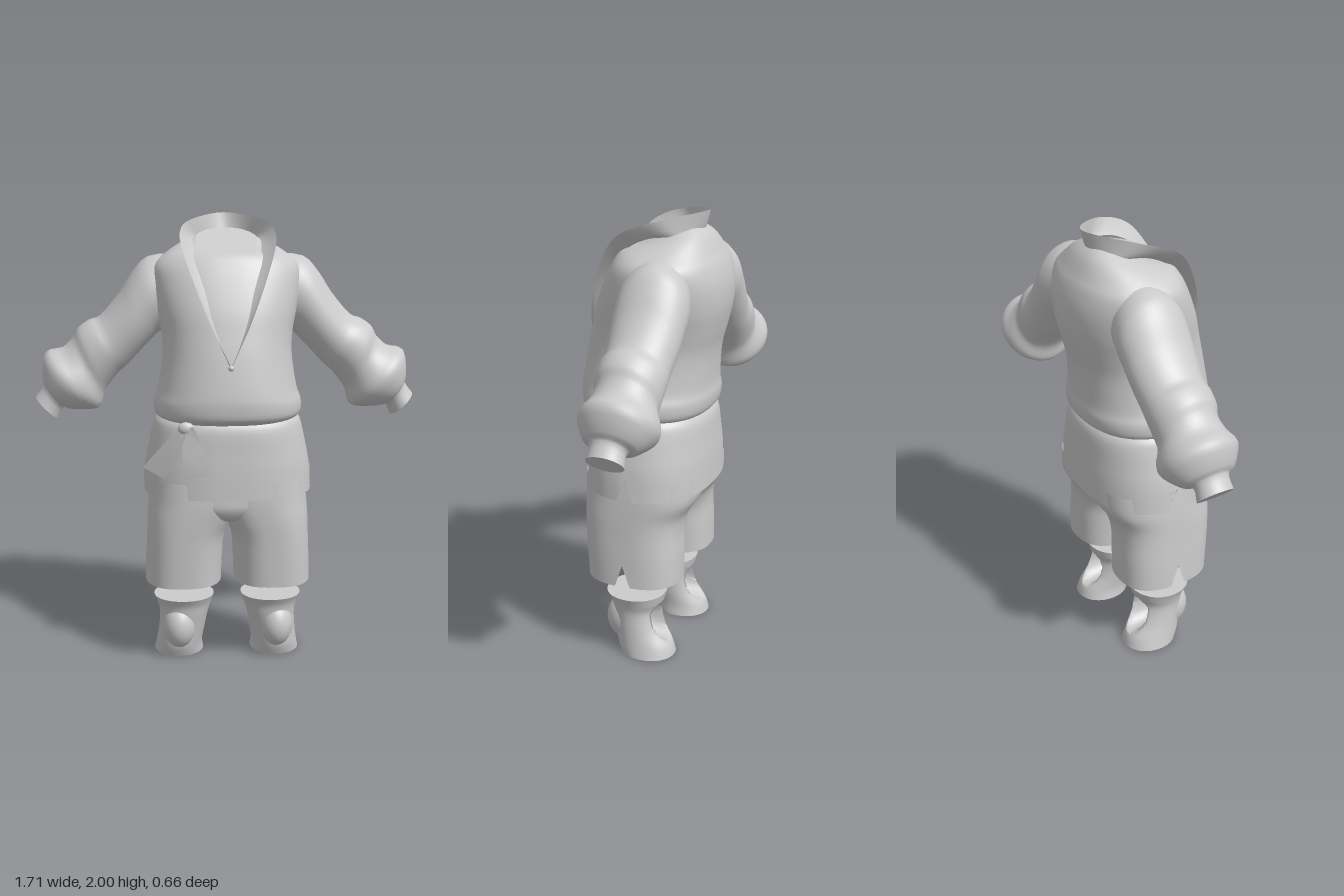
import * as THREE from 'three';

const material = new THREE.MeshStandardMaterial({ color: 0xcccccc, side: THREE.DoubleSide });

// Catmull-Rom interpolation between rows of numbers
function smooth(rows, steps) {
  const out = [];
  for (let i = 0; i < rows.length - 1; i++) {
    const [a, b, c, d] = [-1, 0, 1, 2].map(o => rows[Math.min(rows.length - 1, Math.max(0, i + o))]);
    for (let s = 0; s < steps; s++) {
      const t = s / steps;
      out.push(b.map((_, k) => 0.5 * (2 * b[k] + (c[k] - a[k]) * t +
        (2 * a[k] - 5 * b[k] + 4 * c[k] - d[k]) * t * t +
        (3 * b[k] - a[k] - 3 * c[k] + d[k]) * t * t * t)));
    }
  }
  out.push(rows[rows.length - 1]);
  return out;
}

// Skin over rings of points; capped ends get their own vertices for a sharp edge
function loft(rings, { closed = true, capStart = false, capEnd = false } = {}) {
  const n = rings[0].length, pos = rings.flat(2), idx = [];
  for (let i = 0; i < rings.length - 1; i++) {
    for (let j = 0; j < (closed ? n : n - 1); j++) {
      const k = (j + 1) % n, a = i * n + j, b = i * n + k, c = b + n, d = a + n;
      idx.push(a, d, c, a, c, b);
    }
  }
  const cap = (ring, flip) => {
    const base = pos.length / 3;
    pos.push(...ring.flat(), ...[0, 1, 2].map(k => ring.reduce((s, p) => s + p[k], 0) / n));
    for (let j = 0; j < n; j++) {
      const a = base + j, b = base + (j + 1) % n;
      idx.push(base + n, flip ? a : b, flip ? b : a);
    }
  };
  if (capStart) cap(rings[0], true);
  if (capEnd) cap(rings[rings.length - 1], false);
  const g = new THREE.BufferGeometry();
  g.setAttribute('position', new THREE.Float32BufferAttribute(pos, 3));
  g.setIndex(idx);
  g.computeVertexNormals();
  return g;
}

// Horizontal superellipse: y, x range, front z, back z, tilt
function ring([y, x0, x1, zf, zb, tilt = 0], side = 1, power = 2.3, n = 64) {
  const cx = side * (x0 + x1) / 2, rx = (x1 - x0) / 2, cz = (zf + zb) / 2, rz = (zf - zb) / 2;
  const f = v => Math.sign(v) * Math.abs(v) ** (2 / power);
  return Array.from({ length: n }, (_, j) => {
    const a = j / n * Math.PI * 2, z = rz * f(Math.sin(a));
    return [cx + rx * f(Math.cos(a)), y - tilt * z, cz + z];
  });
}

export function createModel() {
  const group = new THREE.Group();
  const add = (name, geometry) => {
    const m = new THREE.Mesh(geometry, material);
    m.name = name;
    group.add(m);
    return m;
  };
  const wide = ([y, hw, zf, zb, tilt = 0]) => [y, -hw, hw, zf, zb, tilt];

  // Shirt body, closed by a sloping neck
  const shirt = [
    [1.12, .29, .26, -.24], [1.145, .322, .298, -.27], [1.2, .325, .31, -.28], [1.26, .305, .308, -.275],
    [1.4, .285, .285, -.285], [1.5, .29, .262, -.31], [1.6, .31, .235, -.33], [1.7, .325, .195, -.33],
    [1.78, .32, .155, -.31], [1.83, .27, .12, -.285], [1.87, .2, .085, -.25, .15], [1.888, .135, .068, -.21, .33],
  ].map(wide);
  add('shirtBody', loft(smooth(shirt, 4).map(r => ring(r)), { capEnd: true, capStart: true }));

  // Collar: a flaring strip from the neckline to the rim
  const strip = half => {
    const left = half.slice(1, -1).map(([x, y, z]) => [-x, y, z]).reverse();
    return new THREE.CatmullRomCurve3([...half, ...left, half[0]].map(p => new THREE.Vector3(...p)))
      .getPoints(96).map(p => p.toArray());
  };
  const neckline = strip([[0, 1.375, .288], [.05, 1.5, .256], [.1, 1.7, .18], [.137, 1.82, .095],
    [.15, 1.885, -.02], [.12, 1.9, -.15], [0, 1.91, -.218]]);
  const rim = strip([[0, 1.38, .302], [.078, 1.54, .272], [.15, 1.72, .21], [.203, 1.88, .115],
    [.205, 1.93, .04], [.165, 1.97, -.09], [0, 2, -.245]]);
  const bend = neckline.map((p, i) => p.map((v, k) => v * .5 + rim[i][k] * .5 - (k === 1 ? .008 : 0)));
  add('collar', loft([neckline, bend, rim], { closed: false }));
  const button = add('collarButton', new THREE.SphereGeometry(.013, 12, 8));
  button.position.set(0, 1.375, .295);

  // Skirt of the tunic, with a slit at each side
  const skirtRows = [[.79, .375, .27, -.283], [.91, .367, .272, -.28], [1.0, .35, .27, -.272],
    [1.08, .332, .268, -.265], [1.12, .318, .255, -.25], [1.15, .285, .225, -.22]].map(wide);
  const skirt = smooth(skirtRows, 3).map(r => ring(r, 1, 2.4));
  const slit = (rings, j, y) => {
    for (const r of rings) if (r[j][1] < y) r[j][1] = y;
  };
  slit(skirt, 0, .89);
  slit(skirt, 32, .89);
  add('tunicSkirt', loft(skirt));

  // Tails and knot of the sash
  const tails = [
    [[[-.215, 1.12, .24], [-.185, 1.1, .27]], [[-.29, 1.03, .21], [-.225, .99, .27]], [[-.378, .92, .16], [-.283, .885, .235]]],
    [[[-.215, 1.11, .25], [-.16, 1.12, .275]], [[-.205, 1.0, .275], [-.12, 1.03, .295]], [[-.203, .89, .28], [-.095, .92, .33]]],
  ];
  for (const t of tails) add('sashTail', loft(t, { closed: false }));
  const knot = add('sashKnot', new THREE.SphereGeometry(.035, 16, 12));
  knot.scale.set(1, .8, .6);
  knot.position.set(-.19, 1.11, .25);

  // Seat joining the two legs of the shorts
  const seat = [[.64, .03, .06, -.06], [.68, .13, .2, -.17], [.73, .25, .245, -.235], [.79, .34, .25, -.268], [.9, .34, .25, -.265]].map(wide);
  add('shortsSeat', loft(smooth(seat, 4).map(r => ring(r, 1, 2.4)), { capStart: true }));

  // Sleeve stations: upper edge x y, lower edge x y, half depth, centre z
  const sleeve = [
    [.2, 1.83, .2, 1.52, .13, -.11], [.345, 1.815, .29, 1.485, .155, -.12], [.42, 1.74, .33, 1.45, .155, -.12],
    [.475, 1.655, .375, 1.405, .152, -.12], [.56, 1.555, .44, 1.335, .142, -.12], [.61, 1.535, .48, 1.3, .146, -.12],
    [.66, 1.5, .53, 1.24, .142, -.12], [.685, 1.455, .55, 1.2, .135, -.122], [.735, 1.41, .566, 1.145, .158, -.125],
    [.81, 1.388, .61, 1.13, .166, -.125], [.825, 1.285, .7, 1.133, .118, -.12], [.818, 1.245, .732, 1.142, .078, -.115],
    [.857, 1.19, .757, 1.092, .08, -.115],
  ];
  for (const side of [1, -1]) {
    const label = side > 0 ? 'left' : 'right';

    const sleeveRings = smooth(sleeve, 3).map(([tx, ty, bx, by, rz, cz]) => Array.from({ length: 40 }, (_, j) => {
      const a = j / 40 * Math.PI * 2, c = Math.cos(a) / 2;
      return [side * ((tx + bx) / 2 + (tx - bx) * c), (ty + by) / 2 + (ty - by) * c, cz - side * rz * Math.sin(a)];
    }));
    add(label + 'Sleeve', loft(sleeveRings, { capEnd: true }));

    // Shorts leg, open at the hem with an outer slit
    const leg = smooth([[.375, .03, .372, .22, -.2], [.5, .025, .368, .23, -.2], [.6, .013, .363, .238, -.197],
      [.68, -.03, .36, .245, -.21], [.76, -.08, .355, .25, -.255], [.86, -.08, .345, .25, -.26]], 4)
      .map(r => ring(r, side, 2.6));
    slit(leg, side > 0 ? 0 : 32, .48);
    add(label + 'ShortsLeg', loft(leg));

    // Lower leg wrap with an oval hollow behind the calf
    const wrap = smooth([[0, .11, .335, .07, -.18], [.05, .115, .325, .09, -.165], [.12, .105, .315, .1, -.122],
      [.2, .09, .31, .115, -.1], [.25, .075, .32, .125, -.115], [.29, .062, .335, .146, -.125]], 6)
      .map(r => ring(r, side, 2.1, 72));
    for (const p of wrap.flat()) {
      const e = ((p[0] - side * .21) / .058) ** 2 + ((p[1] - .15) / .088) ** 2;
      if (p[2] < -.02 && e < 1) p[2] += .11 * Math.min(1, (1 - e) * 3);
    }
    add(label + 'LegWrap', loft(wrap, { capStart: true, capEnd: true }));
    const pad = add(label + 'KneePad', new THREE.SphereGeometry(1, 32, 20));
    pad.scale.set(.077, .11, .095);
    pad.position.set(side * .222, .15, .05);
  }
  return group;
}
